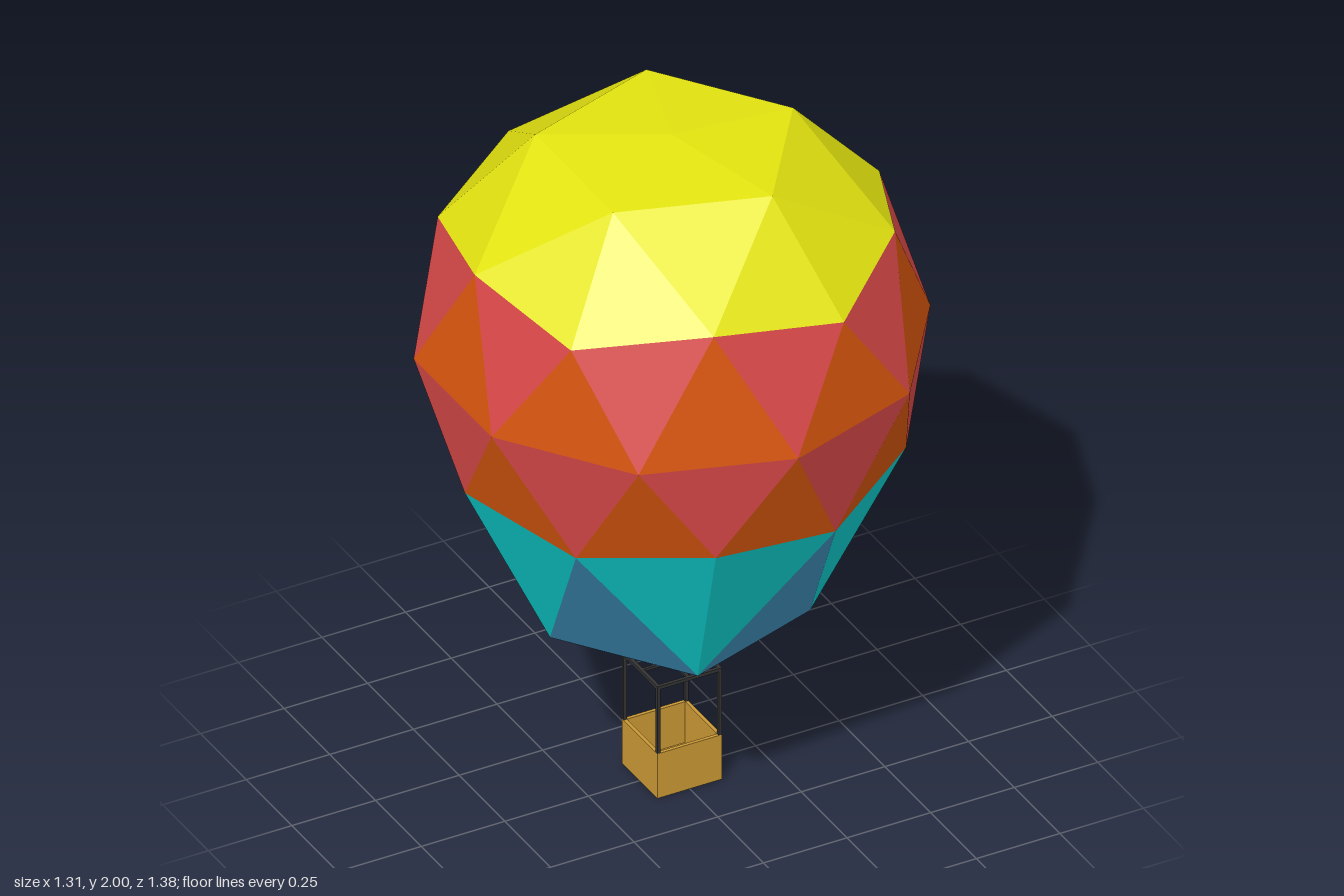
import * as THREE from 'three';

const mat = (name, color, extra = {}) => new THREE.MeshStandardMaterial({ name, color, ...extra });

// A ring of points; angles in degrees, radius and height alternate where two are given
function ring(count, start, radii, heights) {
  return (i) => {
    const j = ((i % count) + count) % count;
    const a = THREE.MathUtils.degToRad(start + (j * 360) / count);
    const r = radii[j % radii.length];
    return [r * Math.cos(a), heights[j % heights.length], r * Math.sin(a)];
  };
}

// Faceted mesh from a list of corner triples
function facets(name, material, triangles) {
  const g = new THREE.BufferGeometry();
  g.setAttribute('position', new THREE.Float32BufferAttribute(triangles.flat(2), 3));
  g.computeVertexNormals();
  const mesh = new THREE.Mesh(g, material);
  mesh.name = name;
  return mesh;
}

function box(name, material, size, pos) {
  const mesh = new THREE.Mesh(new THREE.BoxGeometry(...size), material);
  mesh.position.set(...pos);
  mesh.name = name;
  return mesh;
}

function createEnvelope() {
  const yellow = mat('yellow', 0xe4e410);
  const red = mat('red', 0xd84848);
  const orange = mat('orange', 0xd9560e);
  const teal = mat('teal', 0x0fd0d0);
  const blue = mat('blue', 0x3f90bd);
  const black = mat('black', 0x0c0c0c);

  // Rings of the stretched icosphere, from crown to mouth
  const top = [0, 2, 0];
  const crown = ring(5, 0, [0.362], [1.97]);
  const upper = ring(10, 0, [0.62, 0.59], [1.69, 1.745]);
  const middle = ring(10, 18, [0.69], [1.38]);
  const lower = ring(10, 0, [0.59, 0.62], [1.02, 1.07]);
  const neck = ring(5, 36, [0.365], [0.535]);
  const mouth = ring(5, 36, [0.18], [0.425]);

  const t = { cap: [], red: [], orange: [], teal: [], blue: [], neck: [], mouth: [] };
  for (let k = 0; k < 5; k++) {
    const j = 2 * k;
    t.cap.push(
      [crown(k), top, crown(k + 1)],
      [crown(k), crown(k + 1), upper(j + 1)],
      [upper(j), crown(k), upper(j + 1)],
      [upper(j + 1), crown(k + 1), upper(j + 2)]
    );
    t.teal.push([lower(j), lower(j + 1), neck(k)], [lower(j + 1), lower(j + 2), neck(k)]);
    t.blue.push([neck(k), lower(j + 2), neck(k + 1)]);
    t.neck.push([neck(k), neck(k + 1), mouth(k)], [mouth(k), neck(k + 1), mouth(k + 1)]);
    t.mouth.push([mouth(k), mouth(k + 1), [0, 0.425, 0]]);
  }
  for (let j = 0; j < 10; j++) {
    t.red.push([upper(j), upper(j + 1), middle(j)], [middle(j), middle(j + 1), lower(j + 1)]);
    t.orange.push([middle(j), upper(j + 1), middle(j + 1)], [lower(j), middle(j), lower(j + 1)]);
  }

  const group = new THREE.Group();
  group.name = 'envelope';
  group.add(
    facets('crownPanels', yellow, t.cap),
    facets('redPanels', red, t.red),
    facets('orangePanels', orange, t.orange),
    facets('tealPanels', teal, t.teal),
    facets('bluePanels', blue, t.blue),
    facets('neckPanels', blue, t.neck),
    facets('mouth', black, t.mouth)
  );
  return group;
}

function createGondola() {
  const wicker = mat('wicker', 0xca9834);
  const iron = mat('darkIron', 0x333333);
  const steel = mat('steel', 0x555b62);
  const group = new THREE.Group();
  group.name = 'gondola';

  // Open basket: floor and four walls
  const w = 0.194, h = 0.14, wall = 0.01, bar = 0.01;
  group.add(box('basketFloor', wicker, [w, 0.012, w], [0, 0.006, 0]));
  const edge = (w - wall) / 2;
  for (const s of [-1, 1]) {
    group.add(box('basketSide', wicker, [wall, h, w], [s * edge, h / 2, 0]));
    group.add(box('basketEnd', wicker, [w - 2 * wall, h, wall], [0, h / 2, s * edge]));
  }

  // Corner posts and upper frame
  const topY = 0.345, p = (w - bar) / 2;
  for (const s of [-1, 1]) {
    for (const q of [-1, 1]) {
      group.add(box('post', iron, [bar, topY - h, bar], [s * p, (topY + h) / 2, q * p]));
    }
    group.add(box('frameSide', iron, [bar, bar, w], [s * p, topY, 0]));
    group.add(box('frameEnd', iron, [w, bar, bar], [0, topY, s * p]));
  }

  // Cross bars carrying the burner
  group.add(box('crossBar', iron, [w, 0.008, 0.008], [0, topY, 0]));
  group.add(box('crossBar', iron, [0.008, 0.008, w], [0, topY, 0]));
  const burner = new THREE.Mesh(new THREE.CylinderGeometry(0.015, 0.015, 0.036, 8), steel);
  burner.position.y = 0.348;
  burner.name = 'burner';
  group.add(burner);
  return group;
}

export function createModel() {
  const model = new THREE.Group();
  model.name = 'hotAirBalloon';
  model.add(createEnvelope(), createGondola());
  return model;
}
